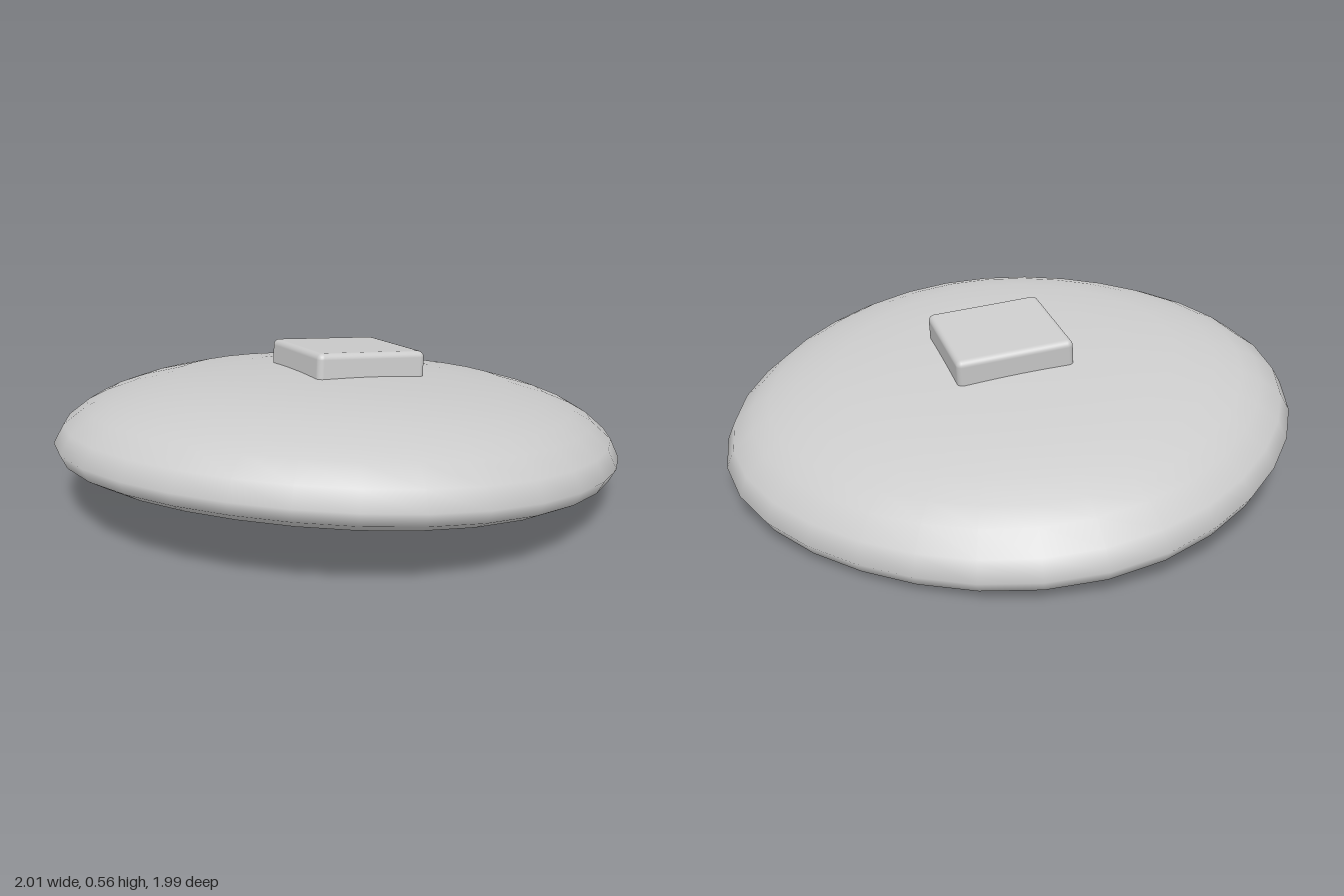
import * as THREE from 'three';
import { mergeVertices } from 'three/addons/utils/BufferGeometryUtils.js';
import { RoundedBoxGeometry } from 'three/addons/geometries/RoundedBoxGeometry.js';

const material = new THREE.MeshStandardMaterial({ color: 0xcccccc });

// Cap: half profile (radius, height) from the hollow underside, round the rim, up to the crown
function capGeometry() {
  const profile = [
    [0, 0.045], [0.3, 0.042], [0.55, 0.034], [0.74, 0.02], [0.85, 0.004], [0.92, 0],
    [0.98, 0.03], [1.004, 0.075], [0.972, 0.14], [0.9, 0.2], [0.835, 0.235], [0.74, 0.271],
    [0.6, 0.307], [0.4, 0.328], [0.2, 0.338], [0, 0.342],
  ].map(([r, h]) => new THREE.Vector2(r, h));
  let geometry = new THREE.LatheGeometry(profile, 32);

  // Push the diagonals out a little so the plan is a slightly squared circle
  const p = geometry.attributes.position;
  for (let i = 0; i < p.count; i++) {
    const x = p.getX(i), z = p.getZ(i);
    const swell = 1 + 0.027 * Math.sin(2 * Math.atan2(z, x)) ** 2;
    p.setX(i, x * swell);
    p.setZ(i, z * swell);
  }

  // Weld the seam for smooth shading all round
  geometry.deleteAttribute('uv');
  geometry.deleteAttribute('normal');
  geometry = mergeVertices(geometry, 1e-4);
  geometry.computeVertexNormals();
  return geometry;
}

export function createModel() {
  const model = new THREE.Group();
  model.name = 'tiltedCap';

  // Everything leans back together, front rim raised
  const tilt = new THREE.Group();
  tilt.name = 'tiltedAssembly';
  tilt.rotation.x = -0.12;
  tilt.position.set(0, 0.114, 0.011);
  model.add(tilt);

  const cap = new THREE.Mesh(capGeometry(), material);
  cap.name = 'cap';
  tilt.add(cap);

  // Diamond-turned block set into the crown
  const block = new THREE.Mesh(new RoundedBoxGeometry(0.42, 0.15, 0.42, 3, 0.022), material);
  block.name = 'topBlock';
  block.rotation.y = Math.PI / 4;
  block.position.set(0.01, 0.348, -0.015);
  tilt.add(block);

  return model;
}
